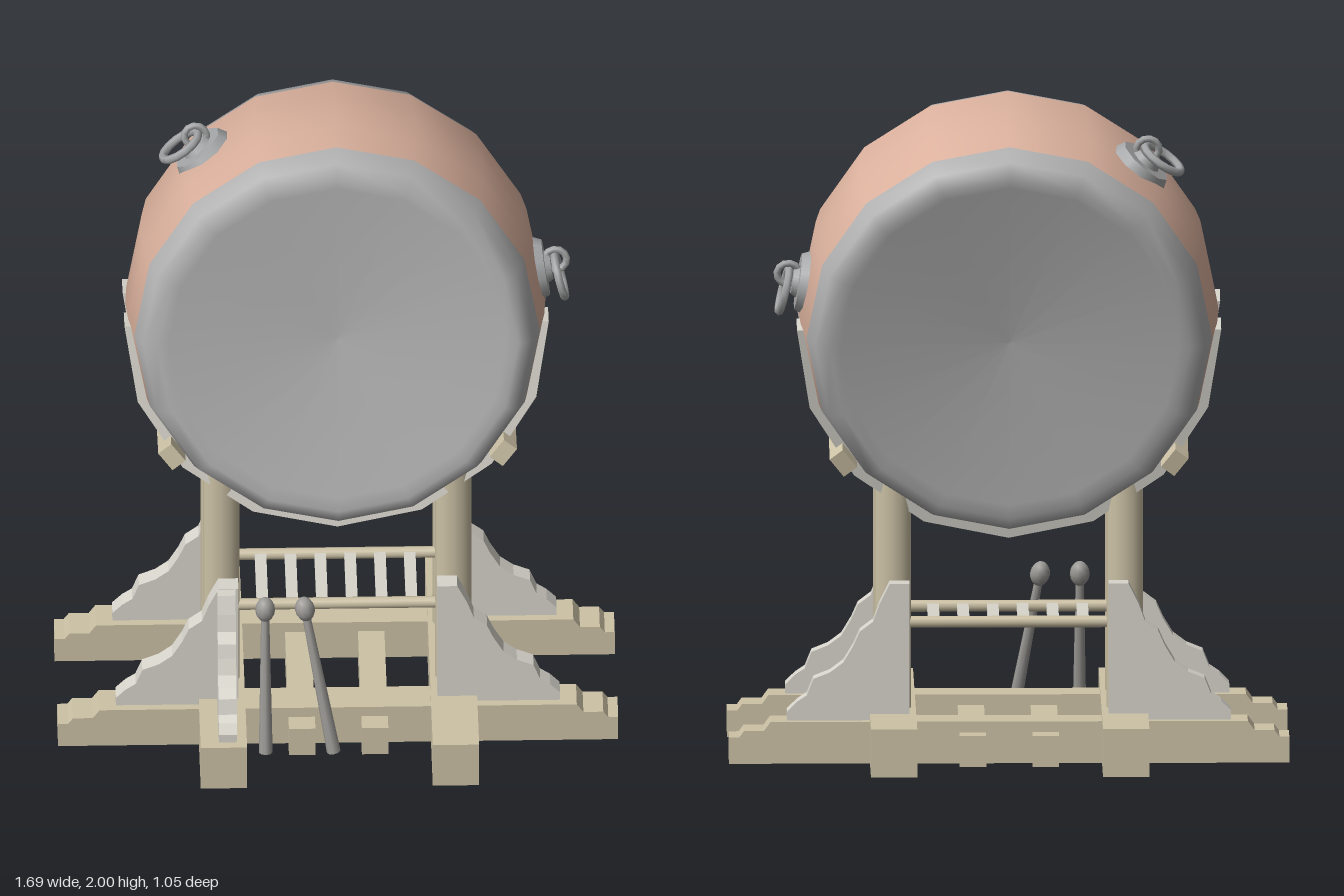
import * as THREE from 'three';

const mat = (name, color) => {
  const m = new THREE.MeshStandardMaterial({ color });
  m.name = name;
  return m;
};

export function createModel() {
  const root = new THREE.Group();
  root.name = 'drumOnStand';
  const barrelRed = mat('barrelSalmon', 0xdbb19d);
  const skinGrey = mat('skinGrey', 0xb0b0b0);
  const wood = mat('standWood', 0xcdc2a6);
  const pale = mat('paleTrim', 0xd8d5cc);
  const metal = mat('metalGrey', 0xa6a7a8);
  const stickGrey = mat('stickGrey', 0x9c9a96);

  const add = (parent, name, geo, material, x = 0, y = 0, z = 0) => {
    const m = new THREE.Mesh(geo, material);
    m.name = name;
    m.position.set(x, y, z);
    parent.add(m);
    return m;
  };
  const box = (name, w, h, d, x, y, z, material = wood) =>
    add(root, name, new THREE.BoxGeometry(w, h, d), material, x, y, z);
  const shapeOf = pts => new THREE.Shape(pts.map(p => new THREE.Vector2(...p)));
  // Extrusion centred on its depth
  const slab = (pts, depth) => new THREE.ExtrudeGeometry(shapeOf(pts), { depth, bevelEnabled: false })
    .translate(0, 0, -depth / 2);

  // ---- Drum, built along local z and tilted back ----
  const drum = new THREE.Group();
  drum.name = 'drum';
  drum.position.set(0, 1.355, -0.09);
  drum.rotation.x = -Math.PI / 18;
  root.add(drum);
  const lathe = pts => new THREE.LatheGeometry(pts.map(p => new THREE.Vector2(...p)), 16).rotateX(Math.PI / 2);

  add(drum, 'barrel', lathe([[0.612, -0.245], [0.628, -0.12], [0.634, 0], [0.628, 0.12], [0.612, 0.245]]), barrelRed);
  const skin = [[0.612, 0.245], [0.588, 0.317], [0.545, 0.347], [0.51, 0.325], [0, 0.29]];
  add(drum, 'frontSkin', lathe(skin), skinGrey);
  add(drum, 'backSkin', lathe(skin.map(([r, t]) => [r, -t]).reverse()), skinGrey);

  // Two straps passing under the barrel
  const arc = [];
  for (let i = 0; i <= 8; i++) {
    const a = Math.PI + i * Math.PI / 8, r = 0.64 - 0.028 * Math.sin(a);
    arc.push([r * Math.cos(a), r * Math.sin(a)]);
  }
  for (let i = 8; i >= 0; i--) {
    const a = Math.PI + i * Math.PI / 8;
    arc.push([0.6 * Math.cos(a), 0.6 * Math.sin(a)]);
  }
  for (const t of [0.125, -0.125]) add(drum, 'strap', slab(arc, 0.105), pale, 0, 0, t);

  // Cradle bars against the lower sides
  for (const s of [1, -1]) {
    const bar = add(drum, 'cradleBar', new THREE.BoxGeometry(0.05, 0.07, 0.48), wood, s * 0.5, -0.405, 0);
    bar.rotation.z = -s * 0.66;
  }

  // Ring fittings: plate, knob, eyelet and hanging ring
  const fitting = (angle, t, side) => {
    const g = new THREE.Group();
    g.name = 'ringFitting';
    g.position.set(0.605 * Math.cos(angle), 0.605 * Math.sin(angle), t);
    g.rotation.z = angle - Math.PI / 2;
    drum.add(g);
    add(g, 'plate', new THREE.CylinderGeometry(0.085, 0.1, 0.035, 10), metal, 0, 0.02, 0);
    add(g, 'knob', new THREE.CylinderGeometry(0.04, 0.05, 0.02, 10), metal, 0, 0.045, 0);
    add(g, 'eyelet', new THREE.TorusGeometry(0.034, 0.011, 6, 12), metal, -side * 0.02, 0.07, 0);
    const ring = add(g, 'hangingRing', new THREE.TorusGeometry(0.065, 0.013, 6, 14), metal, side * 0.035, 0.075, 0);
    ring.rotation.x = Math.PI / 2;
    ring.rotation.y = side * 0.1;
  };
  fitting(0.15, -0.01, 1);
  fitting(2.27, -0.04, -1);

  // ---- Stand ----
  const beamHalf = [[0.72, 0.128], [0.74, 0.1], [0.8, 0.1], [0.815, 0.08], [0.845, 0.08], [0.845, 0]];
  const beam = [...beamHalf, ...beamHalf.map(([x, y]) => [-x, y]).reverse()];
  const bracket = [[0, 0], [0.37, 0], [0.37, 0.03], [0.34, 0.06], [0.31, 0.08], [0.29, 0.13], [0.24, 0.15],
    [0.2, 0.18], [0.17, 0.23], [0.15, 0.275], [0.11, 0.305], [0.09, 0.36], [0.06, 0.42], [0, 0.42]];

  for (const z of [1, -1]) {
    add(root, 'crossBeam', slab(beam, 0.11), wood, 0, 0, z * 0.23);
    for (const x of [1, -1]) {
      // Stepped side brackets
      const b = add(root, 'sideBracket', slab(bracket, 0.058), pale, x * 0.3, 0.125, z * 0.23);
      if (x < 0) b.rotation.y = Math.PI;
      // Posts
      const h = z > 0 ? 0.84 : 0.77;
      const post = add(root, 'post', new THREE.CylinderGeometry(0.5, 0.5, h, 12), wood, x * 0.35, 0.1 + h / 2, z * 0.145);
      post.scale.set(0.11, 1, 0.08);
    }
    // Rails between posts
    add(root, 'longRail', new THREE.CylinderGeometry(0.018, 0.018, 0.66, 8).rotateZ(Math.PI / 2),
      wood, 0, 0.407, z * 0.135);
  }
  for (const x of [1, -1]) {
    box('runner', 0.14, 0.147, 1.05, x * 0.35, 0.0735, 0);
    box('floorJoist', 0.08, 0.095, 0.7, x * 0.11, 0.0475, 0);
    add(root, 'sideRail', new THREE.CylinderGeometry(0.027, 0.027, 0.28, 8).rotateX(Math.PI / 2), wood, x * 0.35, 0.407, 0);
  }
  // Ladder of slats between the rails
  for (let i = 0; i < 6; i++) box('slat', 0.035, 0.02, 0.27, -0.225 + i * 0.09, 0.407, 0, pale);

  // Single front bracket on the right runner
  const front = add(root, 'frontBracket', slab(bracket.map(([x, y]) => [x * 0.65, y * 0.95]), 0.055),
    pale, -0.337, 0.145, 0.255);
  front.rotation.y = -Math.PI / 2;

  // ---- Drumsticks leaning on the stand ----
  const stick = (x0, x1) => {
    const a = new THREE.Vector3(x0, 0.015, 0.355), b = new THREE.Vector3(x1, 0.48, 0.275);
    const dir = b.clone().sub(a), len = dir.length();
    const g = new THREE.Group();
    g.name = 'drumstick';
    g.position.copy(a);
    g.quaternion.setFromUnitVectors(new THREE.Vector3(0, 1, 0), dir.normalize());
    add(g, 'handle', new THREE.CylinderGeometry(0.012, 0.021, len, 8), stickGrey, 0, len / 2, 0);
    add(g, 'head', new THREE.SphereGeometry(0.03, 10, 8), stickGrey, 0, len, 0).scale.set(1, 1.3, 1);
    root.add(g);
  };
  stick(-0.22, -0.22);
  stick(-0.015, -0.1);

  return root;
}
